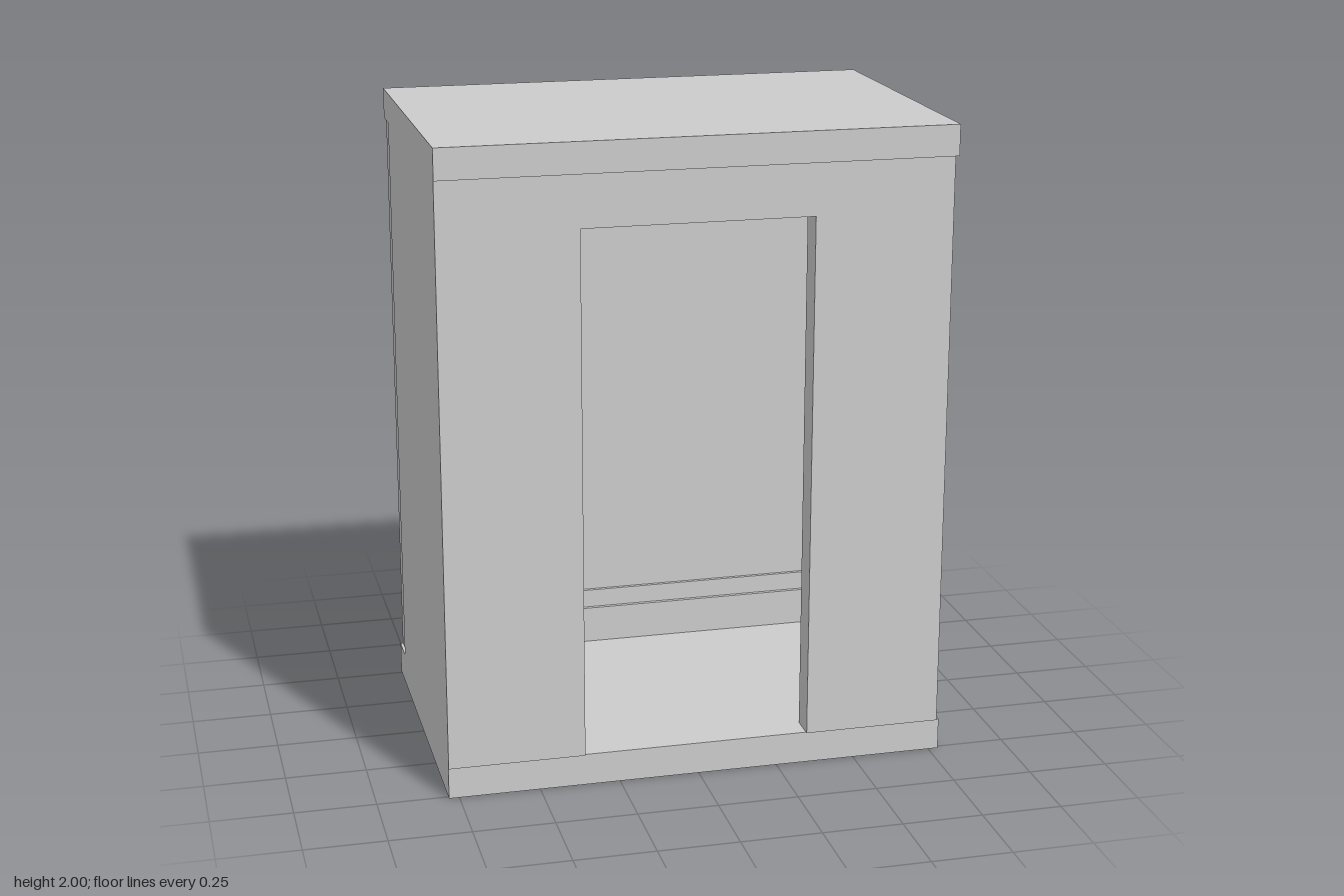
import * as THREE from 'three';

const material = new THREE.MeshStandardMaterial({ color: 0xcccccc, flatShading: true });

function add(parent, name, geometry) {
  const mesh = new THREE.Mesh(geometry, material);
  mesh.name = name;
  parent.add(mesh);
  return mesh;
}

// Box given by its lowest and highest corner
function block(parent, name, [x0, y0, z0], [x1, y1, z1]) {
  const mesh = add(parent, name, new THREE.BoxGeometry(x1 - x0, y1 - y0, z1 - z0));
  mesh.position.set((x0 + x1) / 2, (y0 + y1) / 2, (z0 + z1) / 2);
  return mesh;
}

function polygon(points) {
  return points.map(([x, y]) => new THREE.Vector2(x, y));
}

const FLOOR = 0.1, TOP = 1.905;
const INNER_X = 0.7, INNER_Z = -0.41, FRONT_INNER = 0.435;

// Raised border lining a wall, leaving a recessed panel in the middle
function panelFrame(parent, name, width) {
  const w = width / 2, m = 0.065;
  const shape = new THREE.Shape(polygon([[-w, FLOOR], [w, FLOOR], [w, TOP], [-w, TOP]]));
  const a = w - m, bottom = 0.28, top = TOP - m;
  shape.holes.push(new THREE.Path(polygon([[-a, bottom], [-a, top], [a, top], [a, bottom]])));
  return add(parent, name, new THREE.ExtrudeGeometry(shape, { depth: 0.012, bevelEnabled: false }));
}

export function createModel() {
  const cabin = new THREE.Group();
  cabin.name = 'liftCabin';

  // Floor slab and roof slab
  block(cabin, 'floorSlab', [-0.782, 0, -0.515], [0.782, FLOOR, 0.512]);
  block(cabin, 'roofSlab', [-0.782, TOP, -0.505], [0.782, 2, 0.525]);

  // Front wall with the doorway cut out
  const front = new THREE.Shape(polygon([
    [-0.782, FLOOR], [-0.36, FLOOR], [-0.36, 1.745], [0.345, 1.745],
    [0.345, FLOOR], [0.772, FLOOR], [0.772, TOP], [-0.782, TOP],
  ]));
  const frontWall = add(cabin, 'frontWall',
    new THREE.ExtrudeGeometry(front, { depth: 0.52 - FRONT_INNER, bevelEnabled: false }));
  frontWall.position.z = FRONT_INNER;

  // Back wall stops short of the left rear corner
  block(cabin, 'backWall', [-0.773, FLOOR, -0.523], [INNER_X, TOP, INNER_Z]);
  panelFrame(cabin, 'backPanelFrame', 2 * INNER_X).position.z = INNER_Z;
  block(cabin, 'backSkirting', [-INNER_X, FLOOR, INNER_Z], [INNER_X, 0.22, INNER_Z + 0.025]);

  // Side walls with panel frames, skirting and handrails
  const depth = FRONT_INNER - INNER_Z;
  const middle = (FRONT_INNER + INNER_Z) / 2;
  for (const side of [-1, 1]) {
    const wall = new THREE.Group();
    wall.name = side > 0 ? 'leftSide' : 'rightSide';
    cabin.add(wall);
    const sideBlock = (name, inner, outer, y0, y1) => block(wall, name,
      [Math.min(side * inner, side * outer), y0, INNER_Z],
      [Math.max(side * inner, side * outer), y1, FRONT_INNER]);

    sideBlock('sideWall', INNER_X, side > 0 ? 0.772 : 0.782, FLOOR, TOP);
    sideBlock('sideSkirting', INNER_X - 0.025, INNER_X, FLOOR, 0.22);
    sideBlock('handrail', 0.625, 0.655, 0.795, 0.817);

    const frame = panelFrame(wall, 'sidePanelFrame', depth);
    frame.rotation.y = -side * Math.PI / 2;
    frame.position.set(side * INNER_X, 0, middle);
  }

  return cabin;
}
